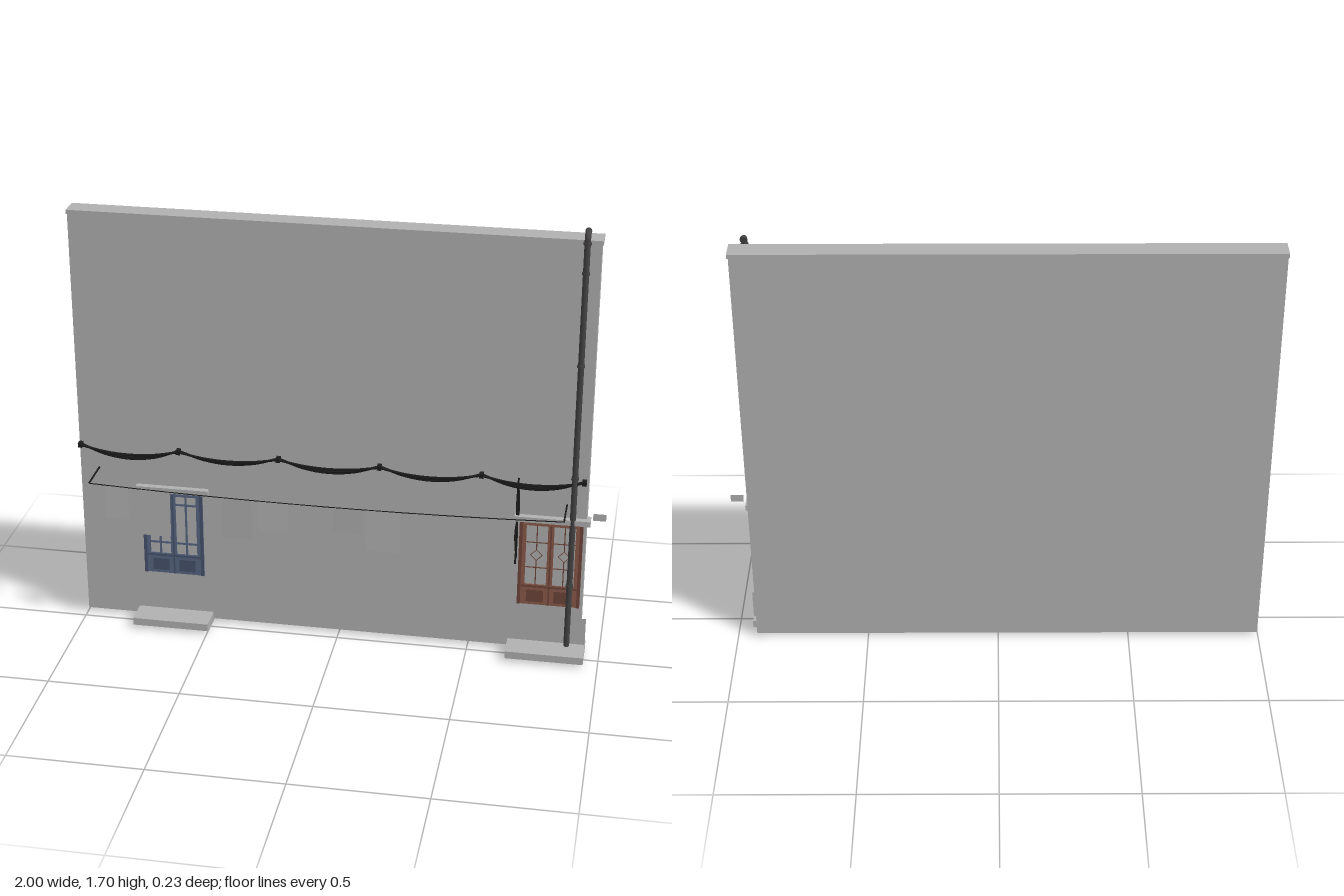
import * as THREE from 'three';

const mat = (name, color, side = THREE.FrontSide) => {
  const m = new THREE.MeshStandardMaterial({ color, side });
  m.name = name;
  return m;
};

export function createModel() {
  const root = new THREE.Group();
  root.name = 'streetWall';
  const plaster = mat('plaster grey', 0xb0b0b0, THREE.DoubleSide);
  const blue = mat('blue paint', 0x566582);
  const darkBlue = mat('dark blue paint', 0x46526b);
  const red = mat('red brown paint', 0x8a594b);
  const darkRed = mat('dark red brown paint', 0x6f453a);
  const metal = mat('dark metal', 0x454343);
  const rubber = mat('black cable', 0x1c1c1c);

  const add = (parent, name, geo, material) => {
    const m = new THREE.Mesh(geo, material);
    m.name = name;
    parent.add(m);
    return m;
  };
  // Box given by its lower and upper limits
  const box = (parent, name, x0, x1, y0, y1, z0, z1, material) => {
    const m = add(parent, name, new THREE.BoxGeometry(x1 - x0, y1 - y0, z1 - z0), material);
    m.position.set((x0 + x1) / 2, (y0 + y1) / 2, (z0 + z1) / 2);
    return m;
  };
  const plate = (parent, name, x0, x1, y0, y1, z, material) => {
    const m = add(parent, name, new THREE.PlaneGeometry(x1 - x0, y1 - y0), material);
    m.position.set((x0 + x1) / 2, (y0 + y1) / 2, z);
    return m;
  };
  const tube = (parent, name, pts, r, material, segs = 16, sides = 6) =>
    add(parent, name, new THREE.TubeGeometry(
      new THREE.CatmullRomCurve3(pts.map(p => new THREE.Vector3(...p))), segs, r, sides), material);

  // Wall shell, open underneath
  const wall = box(root, 'wall', -0.997, 0.927, 0.015, 1.642, -0.11, -0.038, plaster);
  const idx = Array.from(wall.geometry.index.array);
  idx.splice(18, 6);
  wall.geometry.setIndex(idx);
  wall.geometry.clearGroups();
  box(root, 'coping', -1, 0.932, 1.642, 1.658, -0.114, -0.034, plaster);
  plate(root, 'wallEdgeStrip', 0.925, 0.945, 0.015, 0.155, -0.038, plaster);
  plate(root, 'sidePlate', 0.95, 0.998, 0.576, 0.604, -0.03, plaster);

  // Steps reaching into the wall
  for (const [name, x0, x1] of [['leftStep', 0.652, 0.946], ['rightStep', -0.79, -0.495]])
    box(root, name, x0, x1, 0.014, 0.043, -0.07, 0.063, plaster);

  // Double door with glazed upper leaves and panelled lower leaves
  function door(name, x0, paint, dark, diamonds) {
    const g = new THREE.Group();
    g.name = name;
    root.add(g);
    const w = 0.235, y0 = 0.203, y1 = 0.555;
    const rect = (C, a, b, c, d) => {
      const s = new C();
      s.moveTo(a, c); s.lineTo(b, c); s.lineTo(b, d); s.lineTo(a, d); s.closePath();
      return s;
    };
    const frame = rect(THREE.Shape, 0, w, y0, y1);
    const leaves = [[0.026, 0.106], [0.129, 0.209]];
    for (const [a, b] of leaves) frame.holes.push(rect(THREE.Path, a, b, 0.288, 0.535));
    const f = add(g, 'doorFrame', new THREE.ExtrudeGeometry(frame, { depth: 0.01, bevelEnabled: false }), paint);
    f.position.set(x0, 0, -0.042);
    box(g, 'meetingStile', x0 + w / 2 - 0.003, x0 + w / 2 + 0.003, y0, 0.54, -0.034, -0.03, dark);
    box(g, 'midRail', x0 + 0.014, x0 + w - 0.014, 0.277, 0.285, -0.034, -0.029, dark);
    for (const side of [0, w - 0.012])
      box(g, 'doorJamb', x0 + side, x0 + side + 0.012, y0, y1, -0.034, -0.028, dark);
    for (const [a, b] of leaves) {
      const cx = x0 + (a + b) / 2;
      plate(g, 'glass', x0 + a, x0 + b, 0.288, 0.535, -0.036, plaster);
      box(g, 'lowerPanel', x0 + a + 0.008, x0 + b - 0.008, 0.215, 0.265, -0.034, -0.03, dark);
      if (diamonds) {
        // Lattice bars meeting at a diamond
        const ring = add(g, 'diamond', new THREE.TorusGeometry(0.022, 0.002, 4, 4), dark);
        ring.position.set(cx, 0.412, -0.033);
        box(g, 'lowerBar', cx - 0.002, cx + 0.002, 0.288, 0.39, -0.035, -0.032, dark);
        box(g, 'upperBar', cx - 0.002, cx + 0.002, 0.434, 0.535, -0.035, -0.032, dark);
        for (const y of [0.36, 0.465])
          box(g, 'crossBar', x0 + a, x0 + b, y - 0.0015, y + 0.0015, -0.035, -0.032, dark);
      } else {
        box(g, 'glazingBar', cx - 0.004, cx + 0.004, 0.288, 0.535, -0.035, -0.032, paint);
        for (const y of [0.335, 0.5])
          box(g, 'crossBar', x0 + a, x0 + b, y - 0.004, y + 0.004, -0.035, -0.032, paint);
      }
    }
    box(g, 'lintel', x0 - 0.02, x0 + w + 0.025, 0.555, 0.576, -0.06, -0.014, plaster);
  }
  door('blueDoor', -0.76, blue, darkBlue, false);
  door('redDoor', 0.682, red, darkRed, true);

  // Swagged cables between wall hooks
  const hooks = [-0.99, -0.61, -0.227, 0.155, 0.535, 0.912];
  const sags = [[0.048, 0.037, 0.026], [0.04, 0.032, 0.023], [0.043, 0.034, 0.022],
    [0.042, 0.032, 0.024], [0.046, 0.036, 0.024]];
  hooks.forEach((x, i) => {
    box(root, 'cableHook', x - 0.008, x + 0.008, 0.72, 0.738, -0.04, -0.014, rubber);
    if (i === 5) return;
    sags[i].forEach((sag, k) => {
      const pts = [0, 0.25, 0.5, 0.75, 1].map(t =>
        [x + (hooks[i + 1] - x) * t, 0.73 - sag * 4 * t * (1 - t), -0.031 + k * 0.006]);
      tube(root, 'swagCable', pts, 0.0045, rubber);
    });
  });
  tube(root, 'dropCable', [[0.672, 0.73, -0.028], [0.669, 0.6, -0.03], [0.673, 0.48, -0.03], [0.67, 0.37, -0.03]],
    0.004, rubber);
  tube(root, 'dropCableLoop', [[0.672, 0.7, -0.026], [0.677, 0.6, -0.028], [0.667, 0.5, -0.028], [0.673, 0.4, -0.03]],
    0.004, rubber);

  // Clothes line on two brackets
  for (const [x, y] of [[-0.925, 0.633], [0.852, 0.628]])
    tube(root, 'lineBracket', [[x, y, -0.04], [x, y, 0.11]], 0.0035, rubber, 1);
  const lineY = x => 0.613 + 0.018 * ((x + 0.04) / 0.89) ** 2;
  const lineZ = x => 0.104 + 0.004 * x;
  const linePts = [];
  for (let i = 0; i <= 8; i++) {
    const x = -0.925 + 1.777 * i / 8;
    linePts.push([x, lineY(x), lineZ(x)]);
  }
  tube(root, 'clothesLine', linePts, 0.002, rubber, 32, 5);

  // Hanging laundry: left, right, bottom
  const cloths = [[-0.865, -0.775, 0.495], [-0.76, -0.615, 0.435], [-0.415, -0.305, 0.45], [-0.278, -0.165, 0.495],
    [-0.15, -0.04, 0.463], [0.006, 0.112, 0.515], [0.125, 0.256, 0.45], [0.295, 0.397, 0.515]];
  cloths.forEach(([a, b, bottom], i) => {
    const mid = (a + b) / 2, h = lineY(mid) - bottom;
    const geo = new THREE.PlaneGeometry(b - a, h);
    geo.translate(0, -h / 2, 0);
    const c = add(root, 'laundry', geo, plaster);
    c.position.set(mid, lineY(mid), lineZ(mid) + 0.001);
    c.rotation.x = (i % 3 - 1) * 0.03 - 0.01;
  });

  // Drainpipe bending back over the wall top, with clamps
  const px = 0.877, pz = -0.022;
  const pipe = add(root, 'drainpipe', new THREE.CylinderGeometry(0.011, 0.011, 1.662, 12), metal);
  pipe.position.set(px, 0.831, pz);
  tube(root, 'pipeBend', [[px, 1.655, pz], [px, 1.672, pz - 0.002], [px, 1.681, pz - 0.012], [px, 1.686, pz - 0.032]],
    0.011, metal, 12, 12);
  const mouth = add(root, 'pipeMouth', new THREE.CylinderGeometry(0.012, 0.012, 0.006, 12), metal);
  mouth.position.set(px, 1.686, pz - 0.031);
  mouth.rotation.x = Math.PI / 2 - 0.16;
  for (const y of [0.006, 0.3, 0.745, 1.19, 1.54, 1.65]) {
    const ring = add(root, 'pipeCollar', new THREE.CylinderGeometry(0.014, 0.014, 0.01, 12), metal);
    ring.position.set(px, y, pz);
    if (y > 0.1 && y < 1.6) box(root, 'pipeClamp', px - 0.006, px + 0.006, y - 0.004, y + 0.004, -0.045, pz, metal);
  }
  return root;
}
